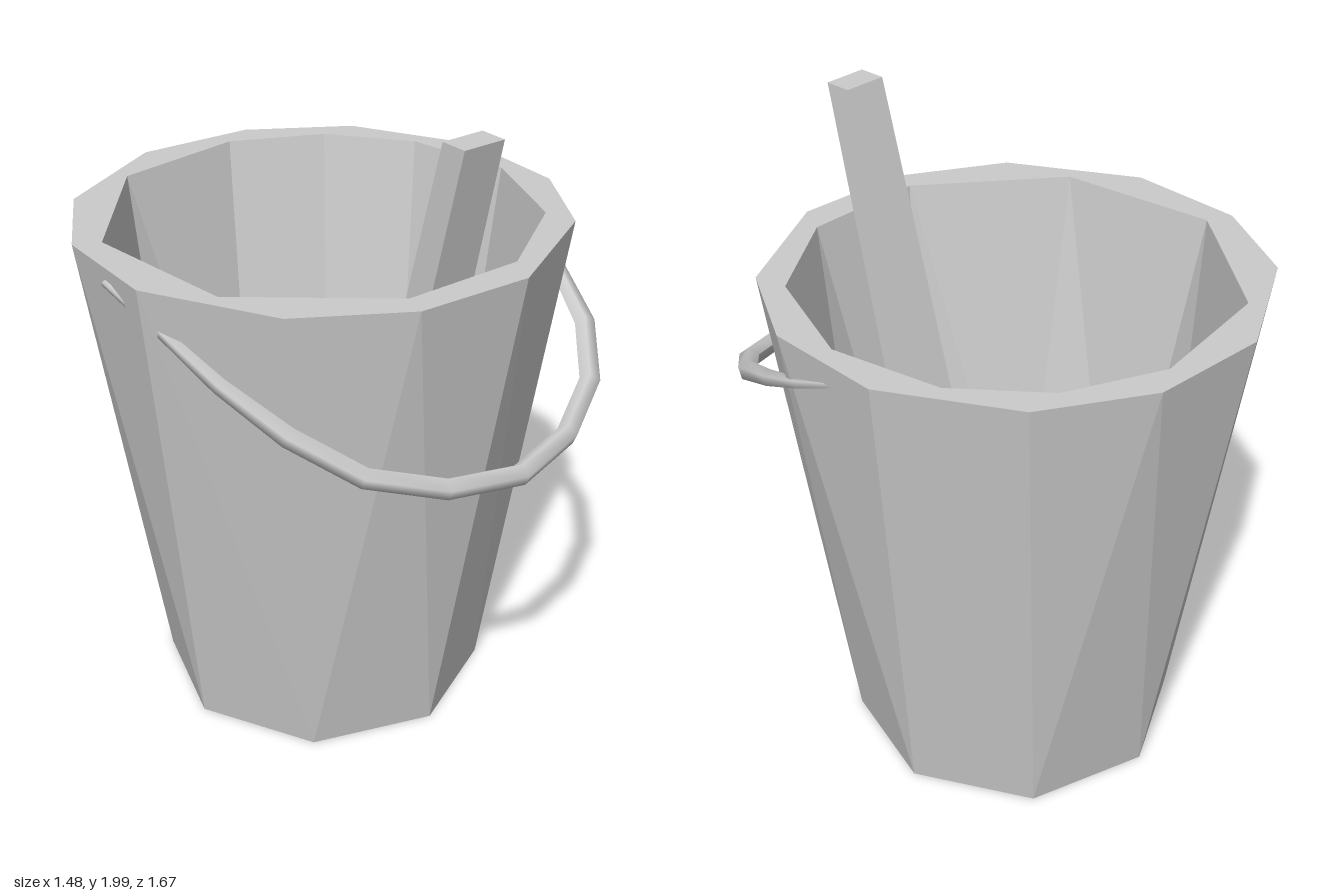
import * as THREE from 'three';

const BUCKET_Z = -0.1;
const LEAN = 0.25;

function material(flat) {
  return new THREE.MeshStandardMaterial({ color: 0xcccccc, flatShading: flat, side: THREE.DoubleSide });
}

function addMesh(group, name, geometry, flat = true) {
  const mesh = new THREE.Mesh(geometry, material(flat));
  mesh.name = name;
  group.add(mesh);
}

// Ring of points around the bucket axis, at the given angles in degrees
function ring(radius, y, degrees) {
  return degrees.map((d) => {
    const a = THREE.MathUtils.degToRad(d);
    return new THREE.Vector3(radius * Math.cos(a), y, BUCKET_Z + radius * Math.sin(a));
  });
}

// Skin between two rings of unequal counts; a one-point ring makes a cap
function skin(lower, upper, out) {
  const n = lower.length === 1 ? 0 : lower.length;
  const m = upper.length === 1 ? 0 : upper.length;
  let i = 0, j = 0;
  while (i < n || j < m) {
    const a = lower[i % lower.length], b = upper[j % upper.length];
    const a2 = lower[(i + 1) % lower.length], b2 = upper[(j + 1) % upper.length];
    const stepLower = j >= m || (i < n && a2.distanceTo(b) < b2.distanceTo(a));
    for (const p of [a, b, stepLower ? a2 : b2]) out.push(p.x, p.y, p.z);
    if (stepLower) i++; else j++;
  }
}

function bucketGeometry() {
  const rings = [
    ring(0, 0, [0]),
    ring(0.512, 0, [-4, 41, 86, 131, 176, 221, 266, 311]),
    ring(0.752, 1.585, [-11.5, 18, 44.5, 78.5, 107, 135, 169, 198, 225, 259, 288, 315.5]),
    ring(0.667, 1.585, [6, 39.6, 72.5, 107, 152, 197, 243, 281, 308.5, 335]),
    ring(0.45, 0.15, [9, 50, 92.5, 141, 185, 231, 276, 310, 341.5]),
    ring(0, 0.15, [0]),
  ];
  const positions = [];
  for (let k = 0; k < rings.length - 1; k++) skin(rings[k], rings[k + 1], positions);
  const geometry = new THREE.BufferGeometry();
  geometry.setAttribute('position', new THREE.Float32BufferAttribute(positions, 3));
  geometry.computeVertexNormals();
  return geometry;
}

// Hanging bail: a faceted tube that thins out at both ends
function bailGeometry() {
  const points = [
    [-0.73, 1.54, -0.14], [-0.67, 1.43, 0.13], [-0.6, 1.31, 0.36], [-0.4, 1.15, 0.65], [-0.05, 1.095, 0.8],
    [0.27, 1.13, 0.73], [0.51, 1.23, 0.55], [0.62, 1.34, 0.3], [0.69, 1.43, 0.12], [0.71, 1.54, -0.14],
  ].map((p) => new THREE.Vector3(...p));
  const curve = new THREE.CatmullRomCurve3(points);
  const segments = 12, sides = 5;
  const geometry = new THREE.TubeGeometry(curve, segments, 0.032, sides);
  const position = geometry.attributes.position;
  const v = new THREE.Vector3();
  for (let k = 0; k < position.count; k++) {
    const t = Math.floor(k / (sides + 1)) / segments;
    const thickness = Math.min(1, 0.3 + 3 * Math.min(t, 1 - t));
    const centre = curve.getPointAt(t);
    v.fromBufferAttribute(position, k).sub(centre).multiplyScalar(thickness).add(centre);
    position.setXYZ(k, v.x, v.y, v.z);
  }
  geometry.computeVertexNormals();
  return geometry;
}

// Lean a part towards +z as it rises
function lean(geometry) {
  geometry.applyMatrix4(new THREE.Matrix4().makeShear(0, 0, 0, LEAN, 0, 0));
  geometry.computeVertexNormals();
  return geometry;
}

// Square tapered shaft of the spade
function shaftGeometry() {
  const height = 1.45;
  const geometry = new THREE.CylinderGeometry(0.07 * Math.SQRT2, 0.09 * Math.SQRT2, height, 4);
  geometry.rotateY(Math.PI / 4).scale(1, 1, 0.62);
  geometry.translate(0, 1.99 - height / 2, 0.06);
  return lean(geometry);
}

// Trough-shaped blade, open towards the back
function bladeGeometry() {
  const outline = [
    [-0.235, 0.09], [-0.08, 0.14], [0.08, 0.14], [0.235, 0.085], [0.235, 0.06],
    [0.2, 0], [0.18, 0.06], [0.1, 0.08], [-0.1, 0.08], [-0.18, 0.06], [-0.21, 0], [-0.235, 0.06],
  ].map(([x, z]) => new THREE.Vector2(x, -z));
  const geometry = new THREE.ExtrudeGeometry(new THREE.Shape(outline), { depth: 0.44, bevelEnabled: false });
  geometry.rotateX(-Math.PI / 2).translate(0, 0.17, 0);
  return lean(geometry);
}

export function createModel() {
  const model = new THREE.Group();
  model.name = 'bucketWithSpade';
  addMesh(model, 'bucket', bucketGeometry());
  addMesh(model, 'bucketHandle', bailGeometry(), false);

  const spade = new THREE.Group();
  spade.name = 'spade';
  addMesh(spade, 'spadeShaft', shaftGeometry());
  addMesh(spade, 'spadeBlade', bladeGeometry());
  model.add(spade);
  return model;
}
